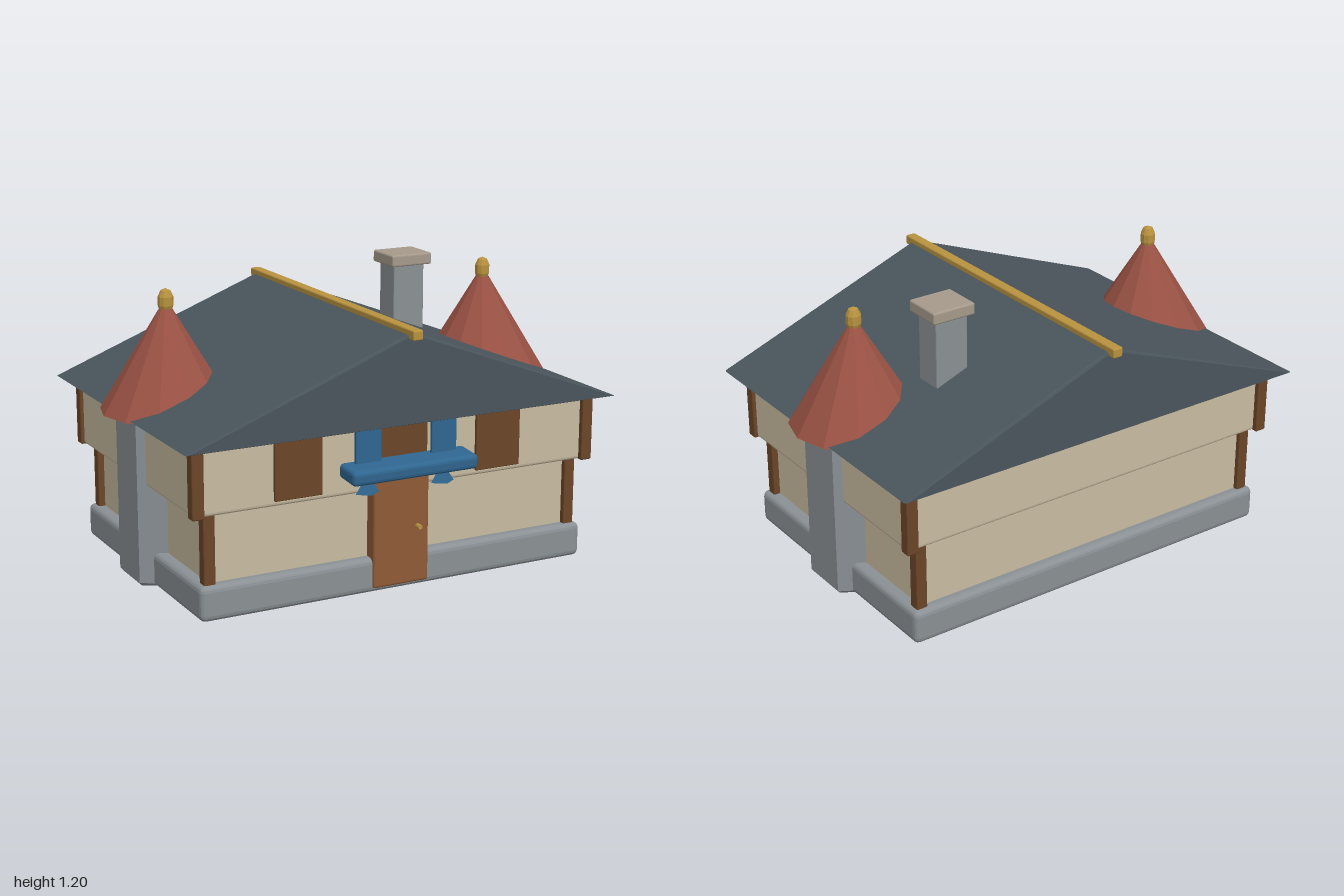
import * as THREE from 'three';
import { RoundedBoxGeometry } from 'three/addons/geometries/RoundedBoxGeometry.js';

const paint = (color) => new THREE.MeshStandardMaterial({ color, flatShading: true });

export function createModel() {
  const house = new THREE.Group();
  house.name = 'house';
  const stone = paint(0x8a9094), plaster = paint(0xc8bba0), timber = paint(0x6b4528);
  const slate = paint(0x4a555c), tile = paint(0x9a5244), gold = paint(0xb8923f);
  const blue = paint(0x2f6690), doorWood = paint(0x8f5a36), capStone = paint(0xa59a8a);

  function add(name, geometry, material, x = 0, y = 0, z = 0) {
    const mesh = new THREE.Mesh(geometry, material);
    mesh.name = name;
    mesh.position.set(x, y, z);
    house.add(mesh);
    return mesh;
  }
  // Rounded box given by its extents on each axis
  function block(name, material, [x0, x1], [y0, y1], [z0, z1], r = 0.006) {
    return add(name, new RoundedBoxGeometry(x1 - x0, y1 - y0, z1 - z0, 2, r), material,
      (x0 + x1) / 2, (y0 + y1) / 2, (z0 + z1) / 2);
  }

  // Storeys: stone plinth, lower wall, overhanging upper wall
  block('plinth', stone, [-0.86, 0.86], [0.005, 0.148], [-0.605, 0.595], 0.025);
  block('lowerWall', plaster, [-0.81, 0.81], [0.12, 0.44], [-0.56, 0.55]);
  block('upperWall', plaster, [-0.88, 0.88], [0.422, 0.69], [-0.595, 0.585], 0.015);

  // Timber corner posts and top beams
  for (const sx of [-1, 1]) {
    for (const sz of [-1, 1]) {
      const px = sx * 0.813, pz = sz * 0.553 - 0.004;
      block('lowerPost', timber, [px - 0.024, px + 0.024], [0.13, 0.43], [pz - 0.024, pz + 0.024]);
      const ux = sx * 0.87, uz = sz * 0.588 - 0.005;
      block('upperPost', timber, [ux - 0.025, ux + 0.025], [0.422, 0.71], [uz - 0.024, uz + 0.024]);
    }
  }
  for (const sz of [-1, 1]) {
    const z = sz * 0.588 - 0.005;
    block('topBeam', timber, [-0.87, 0.87], [0.678, 0.71], [z - 0.018, z + 0.018]);
  }

  // Gabled roof with ridge beam
  const gable = new THREE.Shape([[-0.95, 0.702], [0.95, 0.702], [0, 1.066]]
    .map(([x, y]) => new THREE.Vector2(x, y)));
  const roof = new THREE.ExtrudeGeometry(gable, {
    depth: 1.356, bevelThickness: 0.012, bevelSize: 0.01, bevelOffset: -0.01, bevelSegments: 2,
  });
  add('roof', roof, slate, 0, 0, -0.683);
  block('ridgeBeam', gold, [-0.022, 0.022], [1.04, 1.08], [-0.725, 0.72]);

  // Six-sided side towers with cone roofs and finials
  const finialProfile = [[0, 0], [0.022, 0], [0.031, 0.025], [0.031, 0.06], [0.02, 0.085], [0, 0.094]]
    .map(([x, y]) => new THREE.Vector2(x, y));
  for (const sx of [-1, 1]) {
    const x = sx * 0.73, z = -0.005;
    const body = [[0, 0], [0.196, 0], [0.21, 0.014], [0.21, 0.7], [0, 0.7]]
      .map(([r, y]) => new THREE.Vector2(r, y));
    add('tower', new THREE.LatheGeometry(body, 6), stone, x, 0.005, z);
    add('towerRoof', new THREE.ConeGeometry(0.272, 0.45, 12), tile, x, 0.92, z);
    add('finial', new THREE.LatheGeometry(finialProfile, 10), gold, x, 1.088, z);
  }

  // Chimney
  block('chimney', stone, [0.37, 0.515], [0.72, 1.16], [-0.255, -0.13]);
  block('chimneyCap', capStone, [0.35, 0.54], [1.15, 1.2], [-0.28, -0.107], 0.008);

  // Door, knob and shutters
  block('door', doorWood, [-0.125, 0.122], [0.025, 0.54], [0.54, 0.607], 0.01);
  add('doorKnob', new THREE.CylinderGeometry(0.01, 0.01, 0.03, 8).rotateX(Math.PI / 2),
    gold, 0.07, 0.26, 0.617);
  for (const x of [-0.447, 0, 0.445]) {
    block('shutter', timber, [x - 0.102, x + 0.102], [0.445, 0.69], [0.57, 0.598], 0.004);
  }
  block('upperDoor', timber, [-0.115, 0.115], [0.5, 0.7], [0.57, 0.602], 0.004);

  // Tilted balcony shelf with hangers and brackets
  const shelf = block('balcony', blue, [-0.278, 0.278], [0.5, 0.56], [0.595, 0.725], 0.018);
  shelf.rotation.x = 0.08;
  for (const sx of [-1, 1]) {
    const x = sx * 0.168;
    block('balconyHanger', blue, [x - 0.056, x + 0.056], [0.52, 0.71], [0.625, 0.641], 0.004);
    const bracket = add('balconyBracket', new THREE.ConeGeometry(0.052, 0.08, 4), blue, x, 0.475, 0.63);
    bracket.scale.z = 0.7;
  }
  return house;
}
